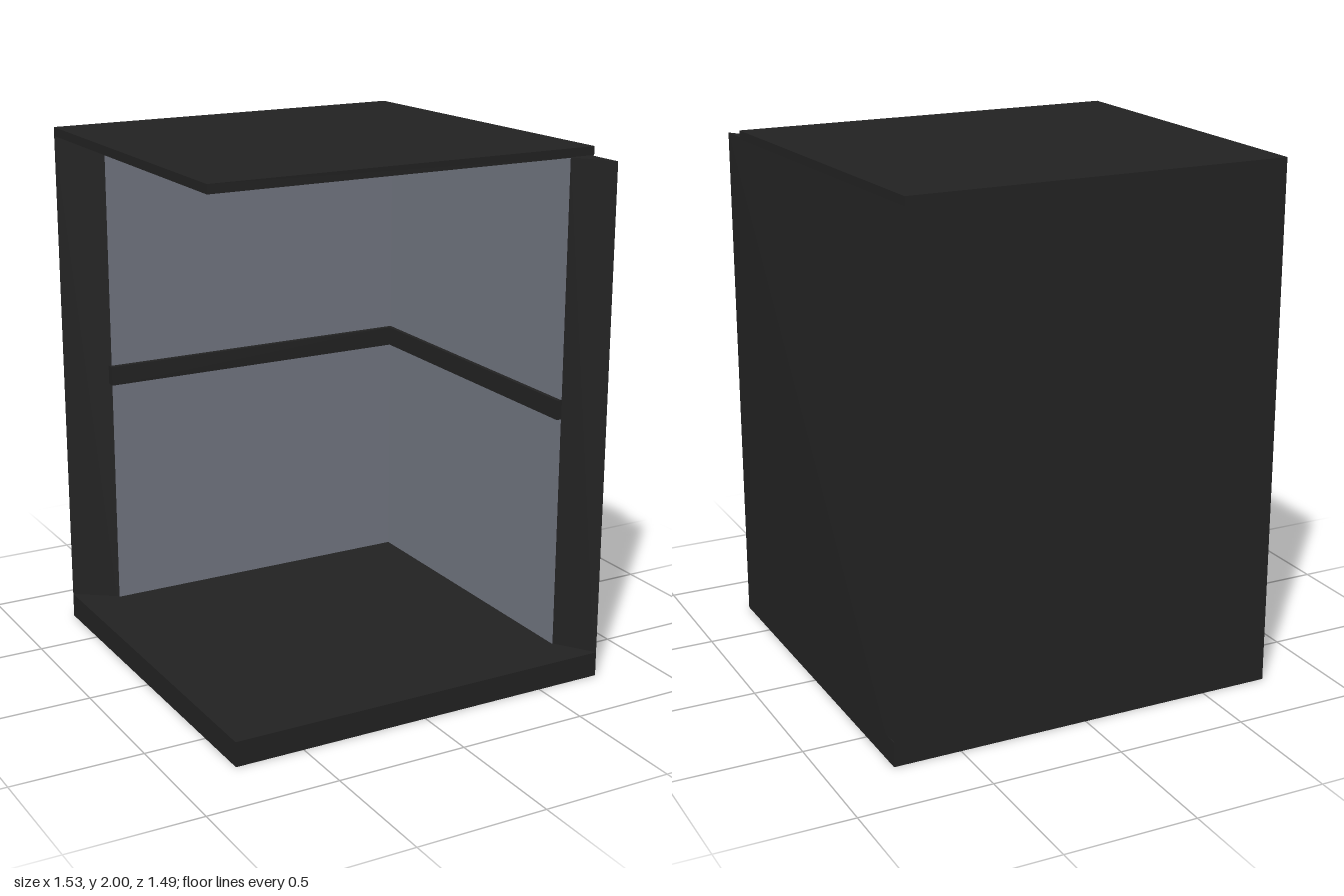
import * as THREE from 'three';

export function createModel() {
  const group = new THREE.Group();
  const dark = new THREE.MeshStandardMaterial({ color: 0x222222 });
  dark.name = 'charcoal';
  const grey = new THREE.MeshStandardMaterial({ color: 0x70747f });
  grey.name = 'slate grey';

  const add = (name, geometry, material) => {
    const mesh = new THREE.Mesh(geometry, material);
    mesh.name = name;
    group.add(mesh);
    return mesh;
  };
  // Upright prism from an [x, z] outline
  const prism = (outline, y0, y1) => {
    const shape = new THREE.Shape(outline.map(([x, z]) => new THREE.Vector2(x, -z)));
    const g = new THREE.ExtrudeGeometry(shape, { depth: y1 - y0, bevelEnabled: false });
    return g.rotateX(-Math.PI / 2).translate(0, y0, 0);
  };
  // Box from its lower and upper limits
  const box = (x0, x1, y0, y1, z0, z1) =>
    new THREE.BoxGeometry(x1 - x0, y1 - y0, z1 - z0)
      .translate((x0 + x1) / 2, (y0 + y1) / 2, (z0 + z1) / 2);

  const floorTop = 0.095, wallTop = 1.968;

  add('floor', box(-0.765, 0.757, 0, floorTop, -0.745, 0.745), dark);

  // Back and side walls in one L, tapering to thin free edges
  const walls = prism([
    [-0.765, -0.745], [-0.61, -0.63], [0.66, -0.63],
    [0.66, 0.6], [0.757, 0.745], [0.757, -0.745],
  ], 0, wallTop);
  // The upper rear corner leans inwards
  const p = walls.attributes.position;
  for (let i = 0; i < p.count; i++) {
    if (p.getX(i) > 0.7 && p.getY(i) > 1 && p.getZ(i) < -0.7) p.setX(i, 0.685);
  }
  walls.computeVertexNormals();
  add('walls', walls, dark);

  add('roof', prism([
    [-0.765, -0.745], [-0.765, 0.597], [0.763, 0.597], [0.685, -0.745],
  ], 1.966, 2), dark);

  // Inner facing panels, above and below the rails
  for (const [name, y0, y1] of [['lower', floorTop, 0.995], ['upper', 1.07, 1.966]]) {
    add(name + 'BackPanel', box(-0.61, 0.66, y0, y1, -0.632, -0.626), grey);
    add(name + 'SidePanel', box(0.656, 0.662, y0, y1, -0.63, 0.598), grey);
  }

  // Middle rails
  add('backRail', box(-0.62, 0.66, 0.995, 1.07, -0.64, -0.605), dark);
  add('sideRail', box(0.64, 0.67, 0.995, 1.07, -0.63, 0.6), dark);

  return group;
}
